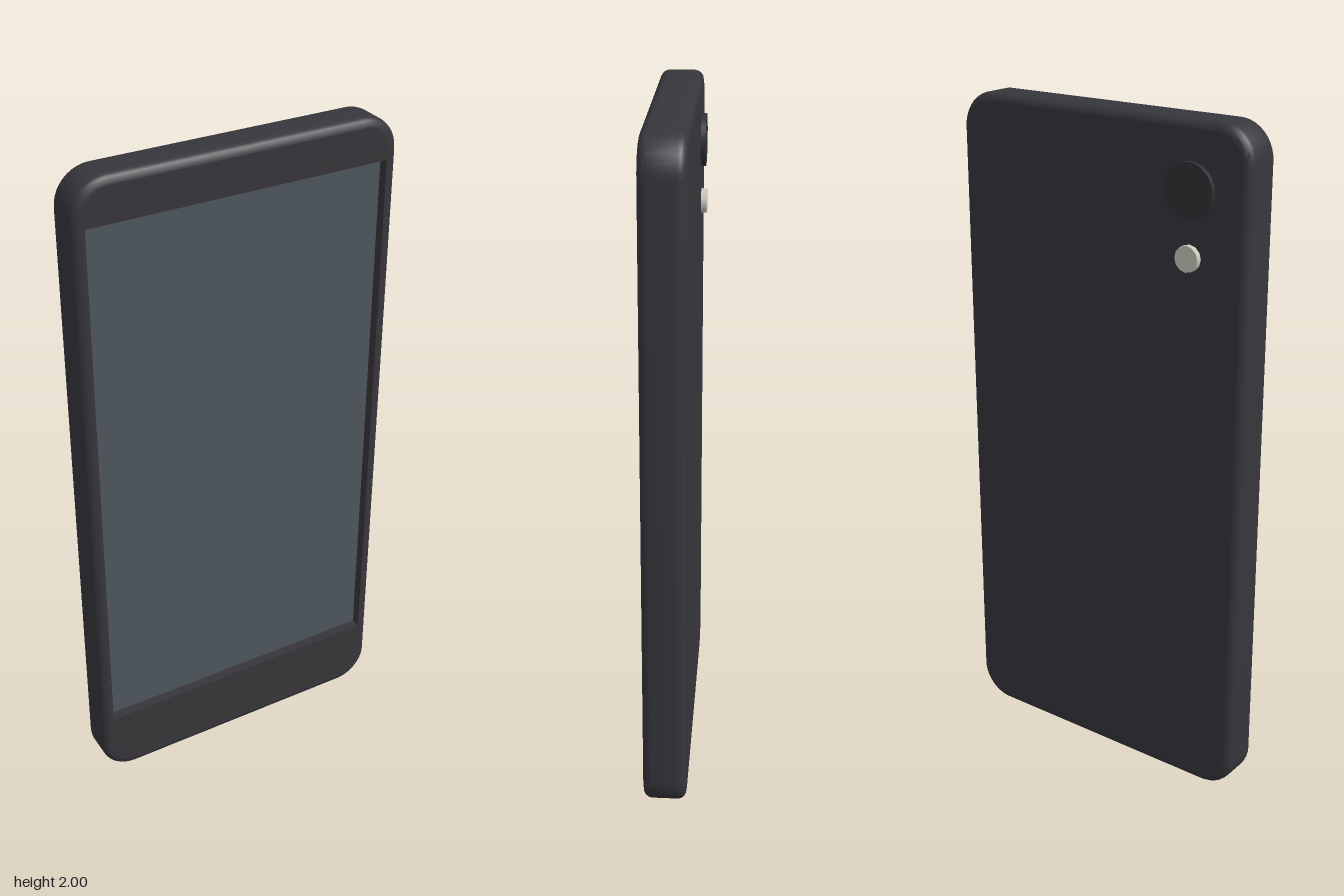
import * as THREE from 'three';
import { toCreasedNormals } from 'three/addons/utils/BufferGeometryUtils.js';

const material = (name, color) => {
  const m = new THREE.MeshStandardMaterial({ color });
  m.name = name;
  return m;
};

// Rounded rectangle centred on x = 0 and y = cy
function roundedRect(w, h, r, cy = 0) {
  const s = new THREE.Shape(), x = w / 2, y0 = cy - h / 2, y1 = cy + h / 2;
  s.moveTo(-x + r, y0);
  s.lineTo(x - r, y0).absarc(x - r, y0 + r, r, -Math.PI / 2, 0);
  s.lineTo(x, y1 - r).absarc(x - r, y1 - r, r, 0, Math.PI / 2);
  s.lineTo(-x + r, y1).absarc(-x + r, y1 - r, r, Math.PI / 2, Math.PI);
  s.lineTo(-x, y0 + r).absarc(-x + r, y0 + r, r, Math.PI, Math.PI * 1.5);
  return s;
}

// Bevelled slab from z = 0 to depth, open at the front, with a flat back
function openSlab(outline, depth, bevel, curveSegments) {
  const slab = new THREE.ExtrudeGeometry(outline, {
    depth: depth - 2 * bevel, bevelSize: bevel, bevelThickness: bevel, bevelSegments: 4, curveSegments,
  }).translate(0, 0, bevel);
  const source = slab.attributes.position.array, kept = [];
  for (let i = 0; i < source.length; i += 9) {
    const nearest = Math.min(source[i + 2], source[i + 5], source[i + 8]);
    if (nearest < depth - 1e-4) kept.push(...source.slice(i, i + 9));
  }
  const open = new THREE.BufferGeometry();
  open.setAttribute('position', new THREE.Float32BufferAttribute(kept, 3));
  const smooth = toCreasedNormals(open, 0.6);
  const { position, normal } = smooth.attributes;
  for (let i = 0; i < position.count; i += 3) {
    const corners = [i, i + 1, i + 2];
    if (corners.every((c) => position.getZ(c) < 1e-4)) corners.forEach((c) => normal.setXYZ(c, 0, 0, -1));
  }
  return smooth;
}

export function createModel() {
  const group = new THREE.Group();
  group.name = 'phone';
  const casing = material('casing charcoal', 0x36363c);
  const glass = material('bezel charcoal', 0x38353a);
  const display = material('display slate', 0x4d565c);
  const lensDark = material('lens black', 0x313135);
  const flashPale = material('flash pale grey', 0xc8c8be);

  const add = (name, geometry, mat, x, y, z) => {
    const mesh = new THREE.Mesh(geometry, mat);
    mesh.name = name;
    mesh.position.set(x, y, z);
    group.add(mesh);
  };

  const back = -0.055, front = 0.07, bevel = 0.025, recess = 0.03, curveSegments = 5;
  const screenW = 0.91, screenH = 1.653, screenY = 0.0435;
  const lip = () => roundedRect(0.98 - 2 * bevel, 2 - 2 * bevel, 0.08);
  const bezel = () => roundedRect(0.916, 1.936, 0.075, 0.005);

  // Casing with softened edges, and the flat rim around its front
  add('casing', openSlab(lip(), front - back, bevel, curveSegments), casing, 0, 1, back);
  const rim = lip();
  rim.holes.push(bezel());
  add('frontRim', new THREE.ShapeGeometry(rim, curveSegments), casing, 0, 1, front);

  // Bezel with a window, its inner walls leading down to the sunken display
  const frame = bezel(), x = screenW / 2, y = screenH / 2;
  frame.holes.push(new THREE.Path([
    [-x, -y], [-x, y], [x, y], [x, -y],
  ].map(([px, py]) => new THREE.Vector2(px, py + screenY))));
  const frameGeometry = new THREE.ExtrudeGeometry(frame, { depth: recess, bevelEnabled: false, curveSegments });
  add('bezel', toCreasedNormals(frameGeometry, 0.6), glass, 0, 1, front - recess);
  add('display', new THREE.PlaneGeometry(screenW, screenH), display, 0, 1 + screenY, front - recess);

  // Rear camera and flash
  const disc = (name, radius, sides, cy, zOut, mat) => {
    const depth = 0.03;
    const geometry = new THREE.CylinderGeometry(radius, radius, depth, sides).rotateX(-Math.PI / 2);
    add(name, geometry, mat, -0.307, cy, zOut + depth / 2);
  };
  disc('cameraLens', 0.076, 24, 1.815, -0.069, lensDark);
  disc('flash', 0.037, 12, 1.632, -0.072, flashPale);

  return group;
}
